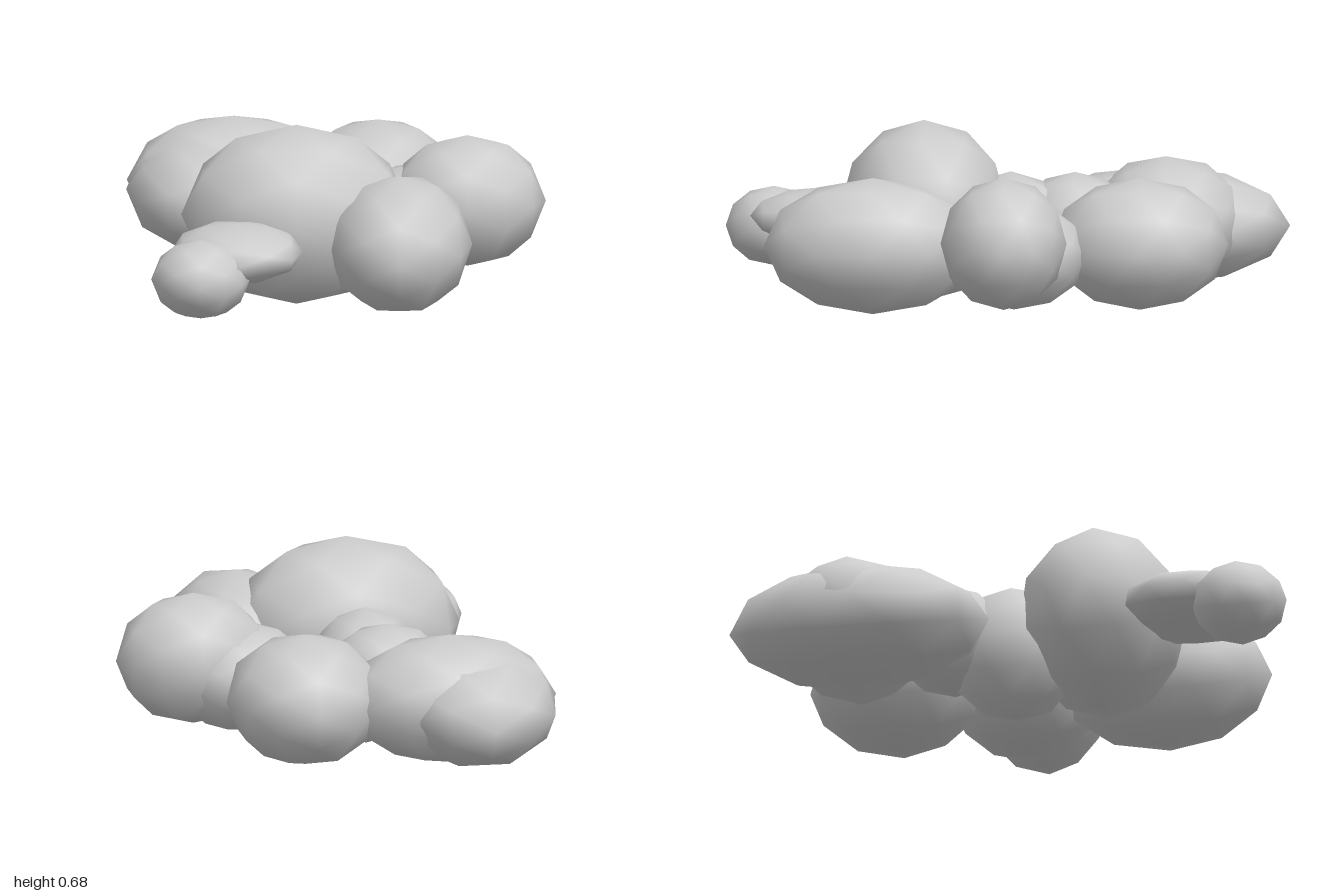
import * as THREE from 'three';

// Cluster of smooth, low-poly ellipsoid lobes
export function createModel() {
  const model = new THREE.Group();
  model.name = 'lobeCluster';
  const grey = new THREE.MeshStandardMaterial({ color: 0xcccccc });
  grey.name = 'lightGrey';

  // name, centre, radii
  const lobes = [
    ['mainLobe', [-0.14, 0.357, 0.288], [0.408, 0.325, 0.298]],
    ['frontLeftLobe', [0.224, 0.288, 0.458], [0.258, 0.244, 0.385]],
    ['frontArmLobe', [-0.352, 0.3, 0.64], [0.235, 0.1, 0.27]],
    ['frontTipLobe', [-0.48, 0.245, 0.83], [0.175, 0.142, 0.17]],
    ['leftLobe', [0.465, 0.338, -0.013], [0.278, 0.237, 0.223]],
    ['leftJoinLobe', [0.295, 0.27, -0.045], [0.25, 0.195, 0.26]],
    ['centreLobe', [-0.155, 0.25, -0.02], [0.21, 0.247, 0.24]],
    ['backJoinLobe', [-0.19, 0.3, -0.245], [0.225, 0.19, 0.21]],
    ['backLeftLobe', [0.148, 0.288, -0.485], [0.284, 0.236, 0.314]],
    ['backRightLobe', [-0.36, 0.288, -0.563], [0.38, 0.232, 0.28]],
    ['backRightLongLobe', [-0.445, 0.26, -0.535], [0.297, 0.21, 0.465]],
  ];

  for (const [name, centre, radii] of lobes) {
    // Scaling the geometry also corrects its smooth normals
    const geometry = new THREE.IcosahedronGeometry(1, 1).scale(...radii);
    const mesh = new THREE.Mesh(geometry, grey);
    mesh.name = name;
    mesh.position.set(...centre);
    model.add(mesh);
  }
  return model;
}
